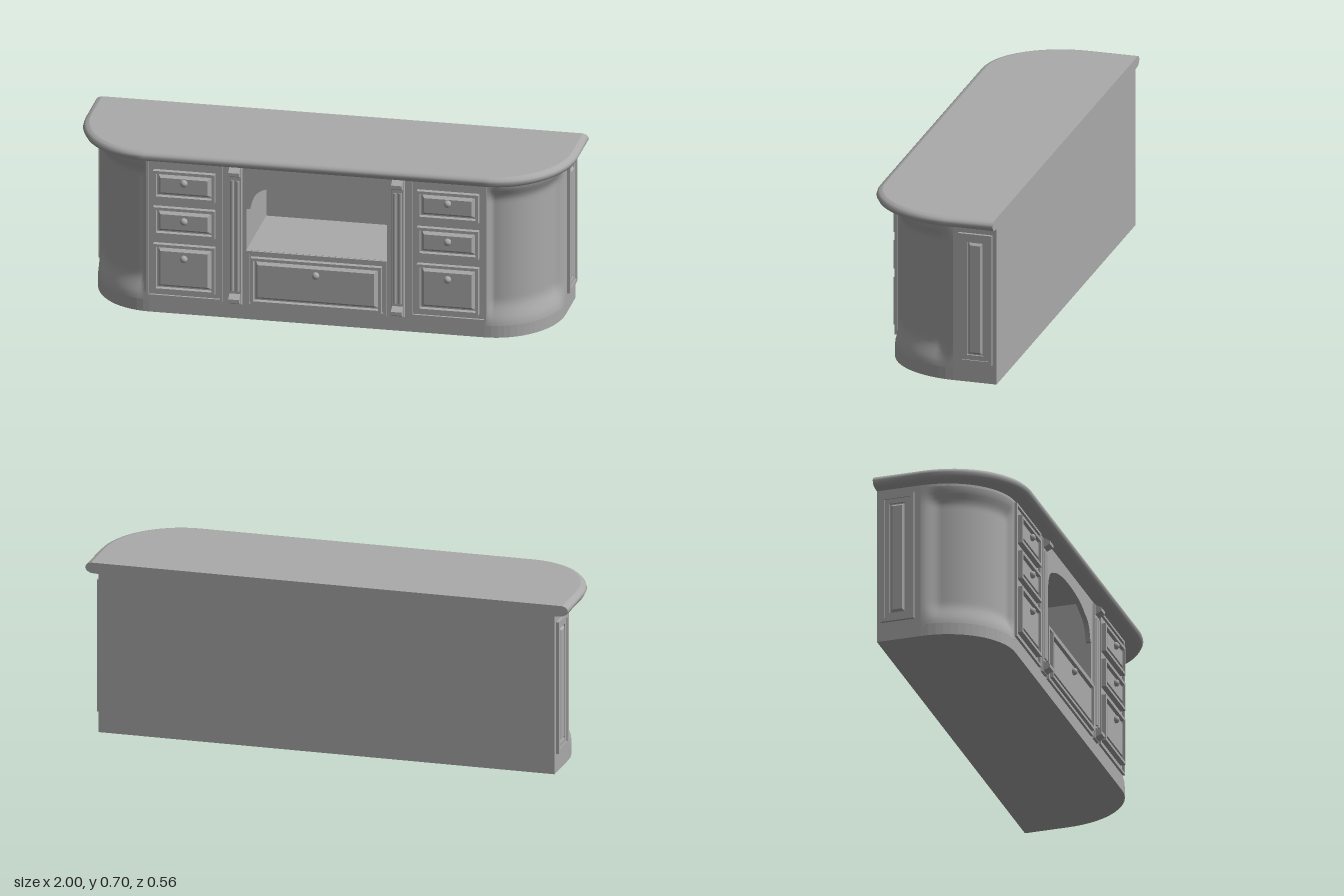
import * as THREE from 'three';

const BACK = -0.282, FRONT = 0.21;

// Quarter-ellipse corner of a plan, from the side (t = 0) to the front (t = 1)
const corner = (cx, cz, rx, rz, t) => [cx + rx * Math.cos(t * Math.PI / 2), cz + rz * Math.sin(t * Math.PI / 2)];
const bodyCorner = (t, d) => corner(0.68, -0.1, 0.265 - d, 0.31 - d, t);

// Mirrored plan outline, right back corner round the front to left back corner
function outline(fn, halfBack, n = 16) {
  const half = [[halfBack, BACK]];
  for (let i = 0; i <= n; i++) half.push(fn(i / n));
  return [...half, ...half.slice().reverse().map(([x, z]) => [-x, z])];
}

// Upright prism from a plan outline
function prism(points, y0, y1) {
  const shape = new THREE.Shape(points.map(([x, z]) => new THREE.Vector2(x, -z)));
  const g = new THREE.ExtrudeGeometry(shape, { depth: y1 - y0, bevelEnabled: false });
  return g.rotateX(-Math.PI / 2).translate(0, y0, 0);
}

// Smooth sheet from a grid of points
function sheet(fn, nu, nv) {
  const pos = [], index = [];
  for (let j = 0; j <= nv; j++) for (let i = 0; i <= nu; i++) pos.push(...fn(i, j));
  for (let j = 0; j < nv; j++) for (let i = 0; i < nu; i++) {
    const a = j * (nu + 1) + i, b = a + 1, c = a + nu + 1, d = c + 1;
    index.push(a, c, b, b, c, d);
  }
  const g = new THREE.BufferGeometry();
  g.setAttribute('position', new THREE.Float32BufferAttribute(pos, 3));
  g.setIndex(index);
  g.computeVertexNormals();
  return g;
}

// Box whose front face is drawn in by a bevel; its back lies on z = 0
function raisedBox(w, h, d, bevel) {
  const g = new THREE.BoxGeometry(w, h, d).toNonIndexed(), p = g.attributes.position;
  for (let i = 0; i < p.count; i++) if (p.getZ(i) > 0) {
    p.setX(i, p.getX(i) - Math.sign(p.getX(i)) * bevel);
    p.setY(i, p.getY(i) - Math.sign(p.getY(i)) * bevel);
  }
  g.computeVertexNormals();
  return g.translate(0, 0, d / 2);
}

// Rectangular moulding with a hole; its back lies on z = 0
function frame(w, h, border, d) {
  const rect = (C, a, b) => new C([[-a, -b], [a, -b], [a, b], [-a, b]].map(p => new THREE.Vector2(...p)));
  const shape = rect(THREE.Shape, w / 2, h / 2);
  shape.holes.push(rect(THREE.Path, w / 2 - border, h / 2 - border));
  return new THREE.ExtrudeGeometry(shape, { depth: d, bevelEnabled: false });
}

export function createModel() {
  const model = new THREE.Group();
  const grey = new THREE.MeshStandardMaterial({ color: 0xaaaaaa });
  grey.name = 'plain grey';
  const add = (name, geometry, x = 0, y = 0, z = 0, parent = model) => {
    const m = new THREE.Mesh(geometry, grey);
    m.name = name;
    m.position.set(x, y, z);
    parent.add(m);
    return m;
  };

  // Countertop with a rounded edge and a flat back
  const topPlan = d => outline(t => corner(0.69, -0.08, 0.31 - d, 0.362 - d, t), 1 - d);
  const edge = [[0.05, 0.66], [0.022, 0.662], [0.007, 0.67], [0, 0.683], [0.003, 0.693], [0.011, 0.701], [0.025, 0.705]];
  const loops = edge.map(([d]) => topPlan(d));
  add('countertopEdge', sheet((i, j) => [loops[j][i][0], edge[j][1], loops[j][i][1]], loops[0].length - 1, edge.length - 1));
  add('countertop', prism(topPlan(0.025), 0.67, 0.705));
  add('countertopUnderside', prism(topPlan(0.05), 0.66, 0.67));
  const section = [...edge.map(([d, y]) => [1 - d, y]), ...edge.slice().reverse().map(([d, y]) => [d - 1, y])];
  const backShape = new THREE.Shape(section.map(p => new THREE.Vector2(...p)));
  add('countertopBack', new THREE.ShapeGeometry(backShape).rotateY(Math.PI), 0, 0, BACK);

  // Body: plinth and head follow the full plan, the core is drawn in at the corners
  const fullPlan = outline(t => bodyCorner(t, 0), 0.945);
  const corePlan = outline(t => t === 0 ? [0.945, -0.1] : t === 1 ? [0.68, FRONT] : bodyCorner(t, 0.04), 0.945);
  const notch = [[-0.285, FRONT], [-0.285, -0.17], [0.285, -0.17], [0.285, FRONT]];
  const mid = corePlan.length / 2;
  const notchedPlan = [...corePlan.slice(0, mid), ...notch.slice().reverse(), ...corePlan.slice(mid)];
  add('plinth', prism(fullPlan, 0, 0.05));
  add('lowerBody', prism(corePlan, 0.05, 0.295));
  add('upperBody', prism(notchedPlan, 0.295, 0.65));
  add('bodyHead', prism(fullPlan, 0.65, 0.66));

  // Arched front of the kneehole
  const arch = new THREE.Shape();
  arch.moveTo(0.285, 0.65);
  arch.lineTo(-0.285, 0.65);
  arch.lineTo(-0.285, 0.47);
  arch.lineTo(-0.27, 0.47);
  arch.bezierCurveTo(-0.262, 0.52, -0.245, 0.55, -0.2, 0.56);
  arch.bezierCurveTo(-0.12, 0.61, 0.12, 0.61, 0.2, 0.56);
  arch.bezierCurveTo(0.245, 0.55, 0.262, 0.52, 0.27, 0.47);
  arch.lineTo(0.285, 0.47);
  add('archPanel', new THREE.ExtrudeGeometry(arch, { depth: 0.02, bevelEnabled: false }), 0, 0, FRONT - 0.018);

  // Framed drawer front with a raised field and a round knob
  const drawer = (name, x, y, w, h, knobY) => {
    const g = new THREE.Group();
    g.name = name;
    g.position.set(x, y, FRONT);
    add('drawerFrame', frame(w, h, 0.012, 0.022), 0, 0, 0, g);
    add('drawerField', raisedBox(w - 0.034, h - 0.034, 0.018, 0.012), 0, 0, 0, g);
    add('knob', new THREE.SphereGeometry(0.015, 16, 10), 0, knobY - y, 0.022, g);
    model.add(g);
  };
  drawer('centreDrawer', 0, 0.172, 0.53, 0.195, 0.215);
  add('centreFrame', frame(0.57, 0.235, 0.012, 0.01), 0, 0.177, FRONT);

  // Everything that comes in left and right pairs
  const ramp = (a, b, v) => THREE.MathUtils.smoothstep(v, a, b);
  for (const s of [1, -1]) {
    const side = s > 0 ? 'left' : 'right';

    // Curved corner with a soft sunken panel
    add(side + 'CurvedCorner', sheet((i, j) => {
      const t = s > 0 ? i / 40 : 1 - i / 40, y = 0.05 + 0.6 * j / 40;
      const sunk = ramp(0, 0.16, t) * (1 - ramp(0.92, 1, t)) * ramp(0.05, 0.15, y) * (1 - ramp(0.575, 0.65, y));
      const [x, z] = bodyCorner(t, 0.028 * sunk);
      return [s * x, y, z];
    }, 40, 40));

    // Drawer pedestal
    add(side + 'DrawerFrame', frame(0.31, 0.585, 0.01, 0.01), s * 0.535, 0.36, FRONT);
    drawer(side + 'TopDrawer', s * 0.535, 0.55, 0.25, 0.12, 0.565);
    drawer(side + 'MiddleDrawer', s * 0.535, 0.395, 0.25, 0.12, 0.402);
    drawer(side + 'BottomDrawer', s * 0.535, 0.198, 0.25, 0.2, 0.242);

    // Pilaster with a beaded shaft and wedge blocks at both ends
    const px = s * 0.33;
    add(side + 'Pilaster', raisedBox(0.056, 0.59, 0.01, 0.003), px, 0.355, FRONT);
    for (const k of [-1, 1])
      add(side + 'PilasterBead', new THREE.CylinderGeometry(0.008, 0.008, 0.47, 10), px + k * 0.011, 0.355, FRONT + 0.01);
    const wedge = new THREE.Shape([[0, -0.025], [0.036, -0.008], [0.036, 0.006], [0, 0.028]].map(p => new THREE.Vector2(...p)));
    for (const y of [0.625, 0.086]) {
      const g = new THREE.ExtrudeGeometry(wedge, { depth: 0.044, bevelEnabled: false });
      add(side + 'PilasterBlock', g.translate(0, 0, -0.022).rotateY(-Math.PI / 2), px, y, FRONT);
    }

    // Tall panel on the end
    const end = new THREE.Group();
    end.name = side + 'EndPanel';
    end.position.set(s * 0.943, 0.355, -0.195);
    end.rotation.y = s * Math.PI / 2;
    add('endFrame', frame(0.14, 0.55, 0.016, 0.014), 0, 0, 0, end);
    add('endInnerFrame', frame(0.108, 0.518, 0.02, 0.009), 0, 0, 0, end);
    add('endField', raisedBox(0.062, 0.474, 0.011, 0.011), 0, 0, 0, end);
    model.add(end);
  }
  return model;
}
